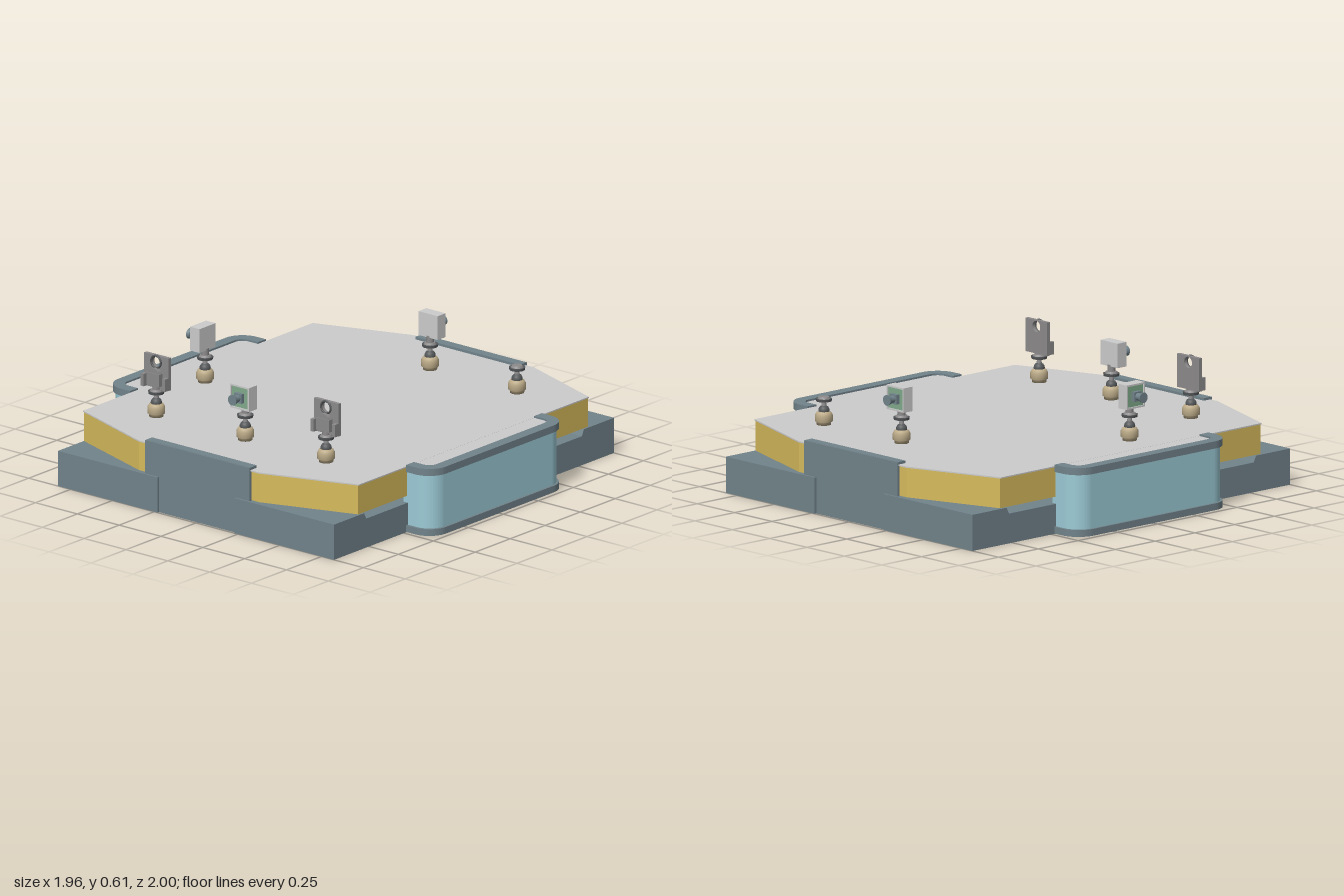
import * as THREE from 'three';

const mat = (color, extra = {}) => new THREE.MeshStandardMaterial({ color, ...extra });
const STEEL = mat(0x71838a), BLUE = mat(0x9ccbd6), YELLOW = mat(0xd6bb5c), GREY = mat(0xcccccc);
const PLATE = mat(0x8c8a8a), DARK = mat(0x55585a), TAN = mat(0xbcab88), GREEN = mat(0x7fa98a);

function add(parent, name, geometry, material, x = 0, y = 0, z = 0) {
  const m = new THREE.Mesh(geometry, material);
  m.name = name;
  m.position.set(x, y, z);
  parent.add(m);
  return m;
}
const box = (w, h, d) => new THREE.BoxGeometry(w, h, d);
const cyl = (r1, r2, h, n = 24) => new THREE.CylinderGeometry(r1, r2, h, n);

// Horizontal slab from a plan outline (x, z), between two heights
function slab(shape, y0, y1) {
  const g = new THREE.ExtrudeGeometry(shape, { depth: y1 - y0, bevelEnabled: false, curveSegments: 8 });
  return g.rotateX(-Math.PI / 2).translate(0, y0, 0);
}
const polygon = pts => new THREE.Shape(pts.map(p => new THREE.Vector2(...p)));

// Rounded bay outline on the +x side, grown or shrunk by t
function bayPath(path, t, start, reverse) {
  const x = 0.98 - t, z = 0.485 - t, r = 0.1 - t;
  const h = Math.PI / 2;
  if (!reverse) {
    path.moveTo(start, -z);
    path.lineTo(x - r, -z);
    path.absarc(x - r, -z + r, r, -h, 0, false);
    path.lineTo(x, z - r);
    path.absarc(x - r, z - r, r, 0, h, false);
    path.lineTo(start, z);
  } else {
    path.lineTo(start, z);
    path.lineTo(x - r, z);
    path.absarc(x - r, z - r, r, h, 0, true);
    path.lineTo(x, -z + r);
    path.absarc(x - r, -z + r, r, 0, -h, true);
    path.lineTo(start, -z);
  }
  return path;
}
function bayShape(t) {
  return bayPath(new THREE.Shape(), t, 0.8, false);
}
function rimShape() {
  const s = bayPath(new THREE.Shape(), 0, 0.825, false);
  return bayPath(s, 0.056, 0.825, true);
}

// Ball mount: collar, ball, neck and knurled clamp disc
function mount(bare) {
  const g = new THREE.Group();
  g.name = 'ballMount';
  const collar = [[0, 0], [0.033, 0], [0.033, 0.012], [0.041, 0.016], [0.041, 0.045], [0.034, 0.058], [0.022, 0.064], [0, 0.064]];
  add(g, 'collar', new THREE.LatheGeometry(collar.map(p => new THREE.Vector2(...p)), 24), TAN);
  add(g, 'ball', new THREE.SphereGeometry(0.026, 20, 12), DARK, 0, 0.066, 0);
  add(g, 'neck', cyl(0.009, 0.013, 0.035, 16), PLATE, 0, 0.098, 0);
  add(g, 'clampDisc', cyl(0.038, 0.036, 0.012, 20), DARK, 0, 0.116, 0);
  add(g, 'upperDisc', cyl(0.024, 0.03, 0.01, 20), PLATE, 0, 0.126, 0);
  if (!bare) add(g, 'stem', cyl(0.018, 0.018, 0.036, 16), PLATE, 0, 0.145, 0);
  return g;
}

// Boxed camera looking along +z
function camera() {
  const g = mount();
  g.name = 'camera';
  add(g, 'body', box(0.115, 0.115, 0.045), GREY, 0, 0.213, 0.008);
  for (const s of [-1, 1]) {
    add(g, 'bezelSide', box(0.008, 0.115, 0.012), GREY, s * 0.0535, 0.213, 0.036);
    add(g, 'bezelEdge', box(0.1, 0.008, 0.012), GREY, 0, 0.213 + s * 0.0535, 0.036);
  }
  add(g, 'circuitBoard', box(0.099, 0.099, 0.006), GREEN, 0, 0.213, 0.033);
  add(g, 'lensHolder', box(0.045, 0.045, 0.02), STEEL, 0, 0.213, 0.045);
  add(g, 'lensBarrel', cyl(0.017, 0.017, 0.03), STEEL, 0, 0.213, 0.067).rotation.x = Math.PI / 2;
  add(g, 'lensCap', cyl(0.025, 0.021, 0.016), STEEL, 0, 0.213, 0.086).rotation.x = Math.PI / 2;
  return g;
}

// Upright bracket plate with a round opening
function bracket() {
  const g = mount();
  g.name = 'bracket';
  const s = polygon([[-0.073, 0.135], [0.073, 0.135], [0.073, 0.292], [-0.073, 0.292]]);
  s.holes.push(new THREE.Path().absarc(0, 0.262, 0.026, 0, Math.PI * 2, true));
  const plate = new THREE.ExtrudeGeometry(s, { depth: 0.018, bevelEnabled: false, curveSegments: 20 });
  add(g, 'plate', plate, PLATE, 0, 0, -0.018);
  add(g, 'openingRing', new THREE.TorusGeometry(0.029, 0.005, 8, 28), DARK, 0, 0.262, 0.002);
  add(g, 'lowerBlock', box(0.075, 0.06, 0.028), PLATE, 0, 0.182, 0.012);
  const hub = add(g, 'hub', cyl(0.036, 0.036, 0.024, 24), PLATE, 0, 0.2, 0.01);
  hub.rotation.x = Math.PI / 2;
  for (const x of [-0.064, 0.064]) add(g, 'sideLip', box(0.018, 0.06, 0.026), PLATE, x, 0.167, 0.011);
  return g;
}

export function createModel() {
  const model = new THREE.Group();
  const base = new THREE.Group();
  base.name = 'base';
  model.add(base);

  // Base: low middle with raised end walls that are notched at the centre
  add(base, 'floor', box(1.65, 0.14, 1.95), STEEL, 0, 0.07, 0);
  for (const e of [-1, 1]) {
    const w = polygon([[0.77, 0.1], [1, 0.0], [1, 0.17], [0.785, 0.17], [0.77, 0.14]]);
    const block = new THREE.ExtrudeGeometry(w, { depth: 0.595, bevelEnabled: false });
    for (const x of [-0.825, 0.23]) {
      const m = add(base, 'cornerBlock', block, STEEL);
      m.rotation.y = e > 0 ? -Math.PI / 2 : Math.PI / 2;
      m.position.x = e > 0 ? x + 0.595 : x;
    }
    for (const x of [-0.5275, 0.5275]) add(base, 'cornerFoot', box(0.595, 0.1, 0.22), STEEL, x, 0.05, e * 0.89);

    // Upright end panel with a folded top flange
    add(model, 'endPanelLower', box(0.46, 0.17, 0.03), STEEL, 0, 0.085, e * 0.975);
    add(model, 'endPanelUpper', box(0.625, 0.165, 0.012), STEEL, 0, 0.2475, e * 0.984);
    add(model, 'endPanelFlange', box(0.625, 0.012, 0.045), STEEL, 0, 0.325, e * 0.962);
  }

  // Upper body with cut corners, and its top sheet
  const outline = k => [
    [-0.825 + k, -0.82], [-0.36, -0.983 + k], [0.36, -0.983 + k], [0.825 - k, -0.82],
    [0.825 - k, 0.82], [0.36, 0.983 - k], [-0.36, 0.983 - k], [-0.825 + k, 0.82]];
  add(model, 'upperBody', slab(polygon(outline(0.006)), 0.172, 0.312), YELLOW);
  add(model, 'deck', slab(polygon(outline(0)), 0.312, 0.318), GREY);

  // Side bays: curved wall, deck infill, top and bottom rims
  for (const s of [0, 1]) {
    const bay = new THREE.Group();
    bay.name = s ? 'rightBay' : 'leftBay';
    bay.rotation.y = s * Math.PI;
    add(bay, 'bayWall', slab(bayShape(0.012), 0.03, 0.3), BLUE);
    add(bay, 'bayDeck', slab(bayShape(0.03), 0.3, 0.3175), GREY);
    add(bay, 'topRim', slab(rimShape(), 0.292, 0.326), STEEL);
    add(bay, 'bottomRim', slab(bayShape(0), 0.002, 0.034), STEEL);
    model.add(bay);
  }

  // Instruments on the deck
  const place = (part, x, z, turn = 0) => {
    part.position.set(x, 0.318, z);
    part.rotation.y = turn;
    model.add(part);
  };
  place(camera(), 0.01, 0.66);
  place(camera(), 0.01, -0.66, Math.PI);
  place(camera(), -0.665, 0.14, -Math.PI / 2);
  place(bracket(), -0.52, 0.662);
  place(bracket(), 0.495, 0.662);
  place(mount(true), 0.53, -0.66);
  return model;
}
